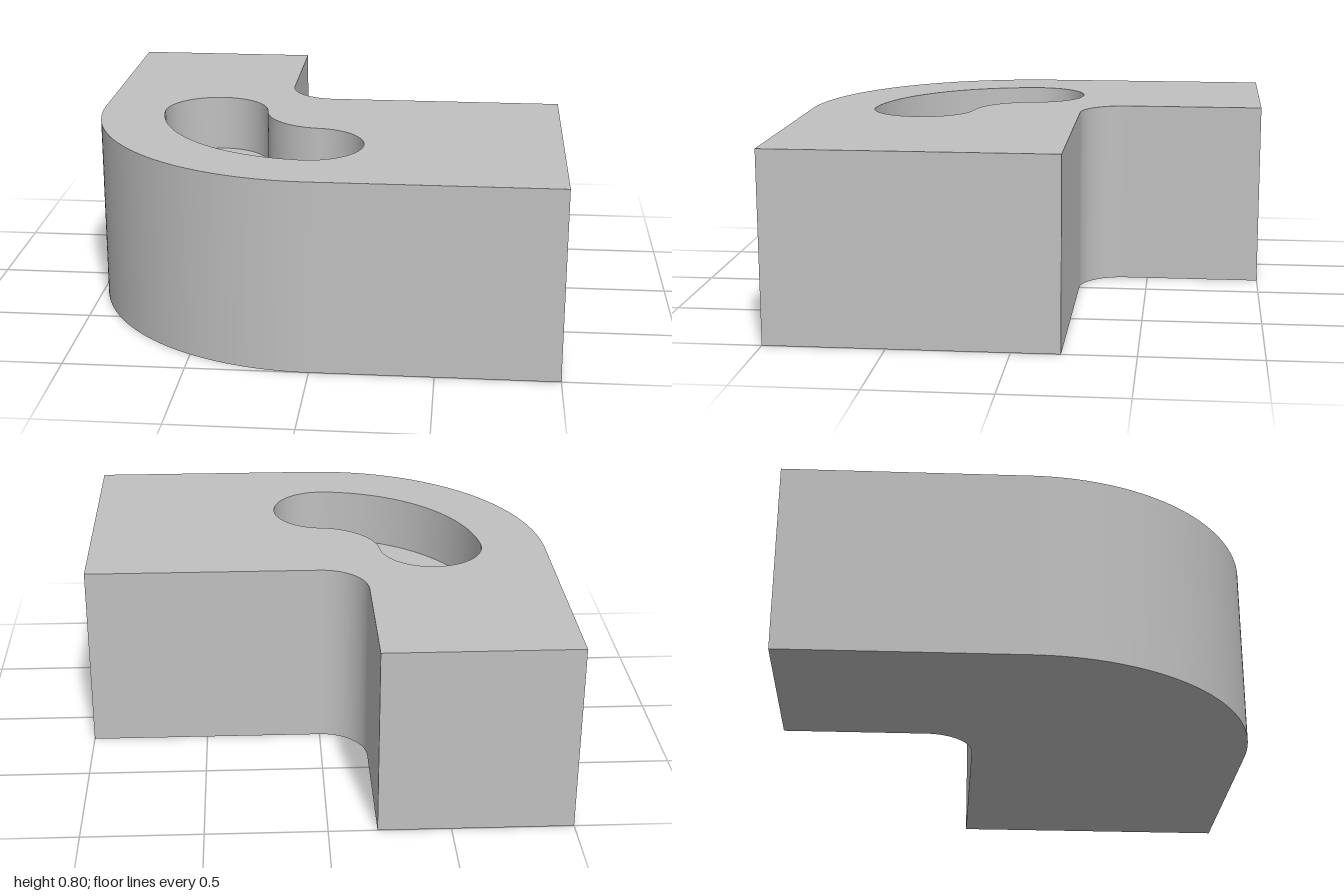
import * as THREE from 'three';
import { toCreasedNormals } from 'three/addons/utils/BufferGeometryUtils.js';

const HEIGHT = 0.8;
const FLOOR = 0.56; // level of the pocket floor
const rad = THREE.MathUtils.degToRad;

// Elbow plan, drawn in x and -z
function elbowShape() {
  const s = new THREE.Shape();
  s.moveTo(-0.2, 1);
  s.lineTo(-1, 1);
  s.lineTo(-1, 0);
  s.absarc(0, 0, 1, Math.PI, 1.5 * Math.PI, false);
  s.lineTo(1, -1);
  s.lineTo(1, 0.2);
  s.lineTo(0, 0.2);
  s.absarc(0, 0.4, 0.2, 1.5 * Math.PI, Math.PI, true);
  s.closePath();
  return s;
}

// Curved slot with round ends, following the bend
function slotShape() {
  const mid = 0.5, r = 0.225, a = rad(185), b = rad(265);
  const s = new THREE.Shape();
  s.absarc(0, 0, mid + r, a, b, false);
  s.absarc(mid * Math.cos(b), mid * Math.sin(b), r, b, b + Math.PI, false);
  s.absarc(0, 0, mid - r, b, a, true);
  s.absarc(mid * Math.cos(a), mid * Math.sin(a), r, a + Math.PI, a + 2 * Math.PI, false);
  return s;
}

// Outline points without repeats
function outline(shape) {
  const pts = shape.getPoints(32);
  return pts.filter((p, i) => p.distanceTo(pts[(i + 1) % pts.length]) > 1e-5);
}

// Upright wall along a closed outline; counter-clockwise faces outwards
function wallGeometry(pts, y0, y1) {
  const pos = [];
  pts.forEach((p, i) => {
    const q = pts[(i + 1) % pts.length];
    pos.push(p.x, y0, -p.y, q.x, y0, -q.y, q.x, y1, -q.y);
    pos.push(p.x, y0, -p.y, q.x, y1, -q.y, p.x, y1, -p.y);
  });
  const g = new THREE.BufferGeometry();
  g.setAttribute('position', new THREE.Float32BufferAttribute(pos, 3));
  return toCreasedNormals(g, rad(30));
}

export function createModel() {
  const group = new THREE.Group();
  group.name = 'elbowBlock';
  const grey = new THREE.MeshStandardMaterial({ color: 0xc0c0c0 });
  grey.name = 'grey';

  const add = (name, geometry) => {
    const mesh = new THREE.Mesh(geometry, grey);
    mesh.name = name;
    group.add(mesh);
  };
  const upFace = (shape, y) => new THREE.ShapeGeometry(shape).rotateX(-Math.PI / 2).translate(0, y, 0);

  const elbow = outline(elbowShape());
  const slot = outline(slotShape());

  // Block
  const top = new THREE.Shape(elbow);
  top.holes.push(new THREE.Path(slot));
  add('topFace', upFace(top, HEIGHT));
  add('outerWall', wallGeometry(elbow, 0, HEIGHT));
  const mirrored = new THREE.Shape(elbow.map((p) => new THREE.Vector2(p.x, -p.y)));
  add('bottomFace', new THREE.ShapeGeometry(mirrored).rotateX(Math.PI / 2));

  // Pocket
  add('pocketFloor', upFace(new THREE.Shape(slot), FLOOR));
  add('pocketWall', wallGeometry([...slot].reverse(), FLOOR, HEIGHT));

  return group;
}
